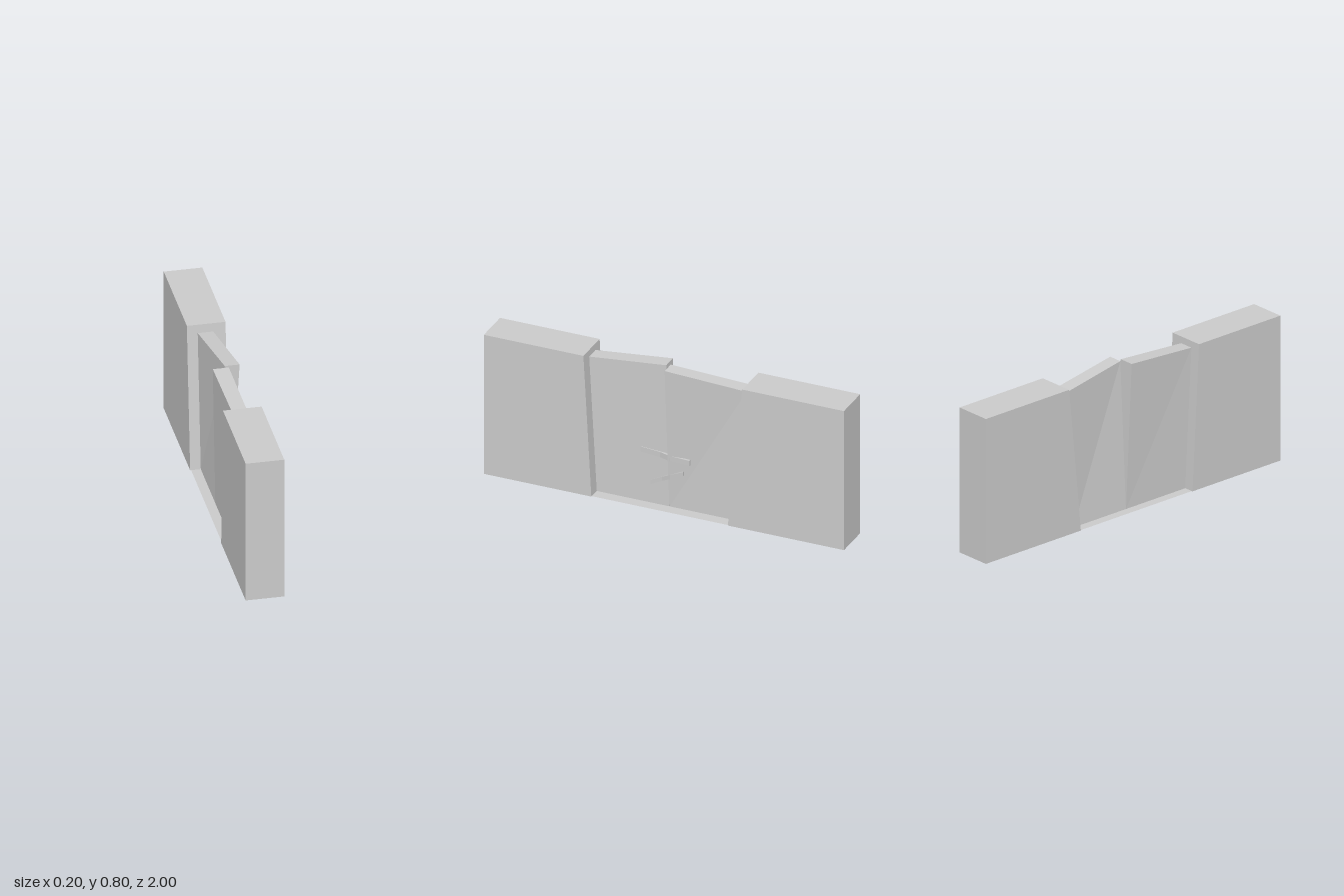
import * as THREE from 'three';

const material = new THREE.MeshStandardMaterial({ color: 0xcccccc, flatShading: true, side: THREE.DoubleSide });

// Solid skinned over four-cornered rings, each counter-clockwise seen from the last ring's end
function loft(name, rings) {
  const pos = [];
  const quad = (a, b, c, d) => pos.push(...a, ...b, ...c, ...a, ...c, ...d);
  for (let r = 0; r + 1 < rings.length; r++) {
    for (let i = 0; i < 4; i++) {
      const j = (i + 1) % 4;
      quad(rings[r][i], rings[r][j], rings[r + 1][j], rings[r + 1][i]);
    }
  }
  const [a, b, c, d] = rings[0];
  quad(d, c, b, a);
  quad(...rings[rings.length - 1]);
  const geometry = new THREE.BufferGeometry();
  geometry.setAttribute('position', new THREE.Float32BufferAttribute(pos, 3));
  geometry.computeVertexNormals();
  const mesh = new THREE.Mesh(geometry, material);
  mesh.name = name;
  return mesh;
}

// Horizontal ring: f and b are [left x, right x, y, z] of its front and back edges
const ring = (f, b) => [
  [f[0], f[2], f[3]], [f[1], f[2], f[3]],
  [b[1], b[2], b[3]], [b[0], b[2], b[3]],
];

// Thin strip through stations [outer x, centre y, z], running backwards
function strip(name, height, stations) {
  return loft(name, stations.map(([x, y, z]) => {
    const inner = x - 0.012, h = height / 2;
    return [[x, y - h, z], [inner, y - h, z], [inner, y + h, z], [x, y + h, z]];
  }));
}

export function createModel() {
  const group = new THREE.Group();
  group.name = 'brokenDoorway';
  const floorY = 0.002;

  // Wall ends with leaning jambs
  group.add(loft('frontWall', [
    ring([-0.1, 0.1, floorY, 1], [-0.1, 0.1, floorY, 0.403]),
    ring([-0.1, 0.1, 0.8, 1], [-0.1, 0.1, 0.8, 0.447]),
  ]));
  group.add(loft('backWall', [
    ring([-0.1, 0.1, floorY, -0.355], [-0.1, 0.1, floorY, -1]),
    ring([-0.1, 0.1, 0.8, -0.435], [-0.1, 0.1, 0.8, -1]),
  ]));

  // Threshold between the jambs
  const threshold = new THREE.Mesh(new THREE.PlaneGeometry(0.19, 0.758).rotateX(-Math.PI / 2), material);
  threshold.position.set(0, floorY, 0.024);
  threshold.name = 'threshold';
  group.add(threshold);

  // Two warped door leaves, parting towards the top
  group.add(loft('frontDoor', [
    ring([-0.045, 0.033, 0, 0.403], [-0.045, 0.033, 0, 0.001]),
    ring([-0.045, 0.033, 0.764, 0.445], [-0.063, 0.02, 0.8, 0.023]),
  ]));
  group.add(loft('backDoor', [
    ring([-0.045, 0.033, 0, 0], [-0.045, 0.033, 0, -0.355]),
    ring([0.003, 0.08, 0.8, 0.005], [-0.045, 0.035, 0.754, -0.43]),
  ]));

  // Bent strips bridging the gap
  group.add(strip('upperStrip', 0.03, [
    [0.031, 0.295, 0.16], [0.034, 0.288, 0.05], [0.049, 0.285, -0.01], [0.056, 0.285, -0.122],
  ]));
  group.add(strip('lowerStrip', 0.024, [
    [0.032, 0.118, 0.104], [0.035, 0.152, 0.04], [0.046, 0.178, -0.01], [0.053, 0.214, -0.085],
  ]));
  return group;
}
